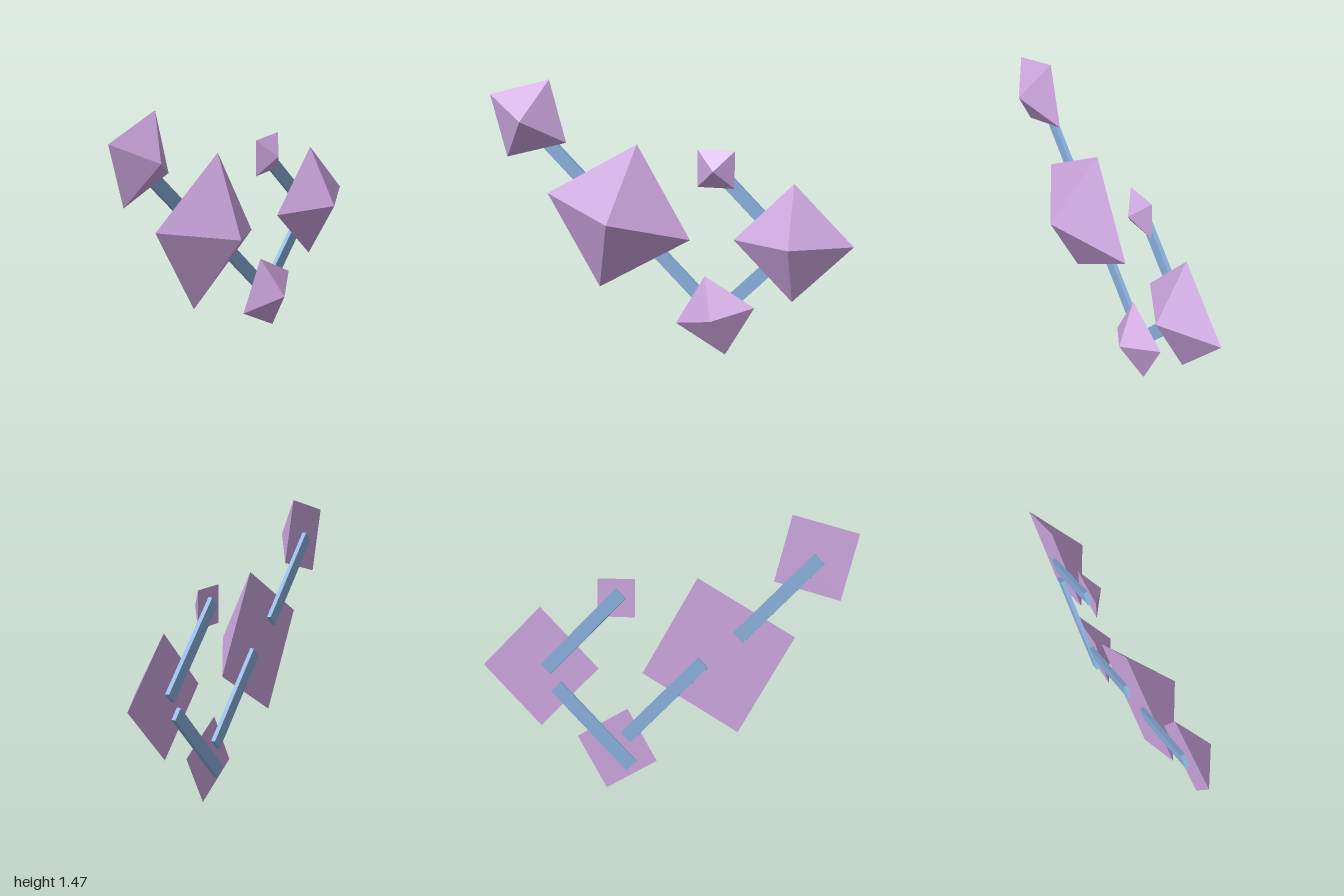
import * as THREE from 'three';

const BACK = -0.103; // plane shared by pyramid bases and bars

// x, y of centre, base half-diagonal, height, turn in degrees
const PYRAMIDS = [
  ['upperLeftPyramid', -0.786, 1.259, 0.249, 0.136, 60],
  ['largePyramid', -0.281, 0.743, 0.415, 0.23, 75],
  ['bottomPyramid', 0.26, 0.225, 0.224, 0.123, 15],
  ['rightPyramid', 0.678, 0.652, 0.32, 0.17, 0],
  ['smallPyramid', 0.26, 1.03, 0.142, 0.078, 45],
];

// x, y of centre, slope in degrees
const BARS = [
  ['upperLeftBar', -0.596, 1.048, -45],
  ['lowerLeftBar', 0.002, 0.497, -45],
  ['lowerRightBar', 0.383, 0.343, 45],
  ['upperRightBar', 0.439, 0.848, -45],
];

export function createModel() {
  const group = new THREE.Group();
  const purple = new THREE.MeshStandardMaterial({ color: 0xcca5de, flatShading: true });
  const blue = new THREE.MeshStandardMaterial({ color: 0x88b0dc, flatShading: true });

  // Four-sided pyramids pointing forward
  for (const [name, x, y, radius, height, turn] of PYRAMIDS) {
    const geometry = new THREE.ConeGeometry(radius, height, 4);
    geometry.rotateX(Math.PI / 2);
    const mesh = new THREE.Mesh(geometry, purple);
    mesh.name = name;
    mesh.position.set(x, y, BACK + height / 2);
    mesh.rotation.z = THREE.MathUtils.degToRad(turn);
    group.add(mesh);
  }

  // Flat connecting bars behind the bases
  const barGeometry = new THREE.BoxGeometry(0.584, 0.073, 0.023);
  for (const [name, x, y, slope] of BARS) {
    const mesh = new THREE.Mesh(barGeometry, blue);
    mesh.name = name;
    mesh.position.set(x, y, BACK - 0.0115);
    mesh.rotation.z = THREE.MathUtils.degToRad(slope);
    group.add(mesh);
  }
  return group;
}
